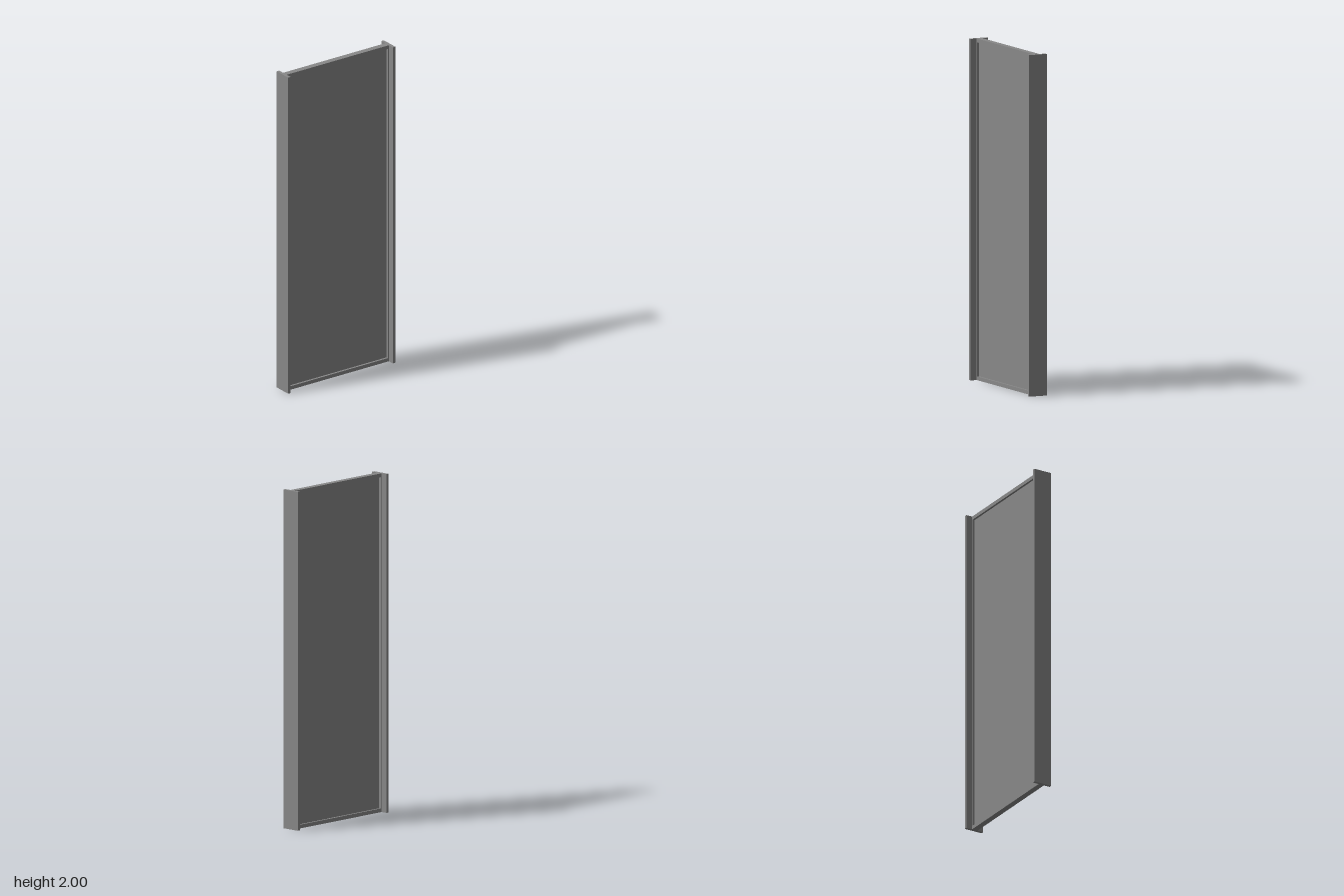
import * as THREE from 'three';

export function createModel() {
  const group = new THREE.Group();
  const material = new THREE.MeshStandardMaterial({ color: 0x888888 });

  const height = 2, halfWidth = 0.383;
  const boardWidth = 0.018, boardDepth = 0.114;
  const frameDepth = 0.036, railHeight = 0.022, stileWidth = 0.006;
  const inner = halfWidth - boardWidth;

  const box = (name, w, h, d, x, y) => {
    const mesh = new THREE.Mesh(new THREE.BoxGeometry(w, h, d), material);
    mesh.name = name;
    mesh.position.set(x, y, 0);
    group.add(mesh);
  };

  // Deep jamb boards and the slim stiles against them
  for (const [side, s] of [['left', 1], ['right', -1]]) {
    box(side + 'Jamb', boardWidth, height, boardDepth, s * (halfWidth - boardWidth / 2), height / 2);
    box(side + 'Stile', stileWidth, height - 2 * railHeight, frameDepth, s * (inner - stileWidth / 2), height / 2);
  }

  // Rails across the top and bottom
  box('topRail', inner * 2, railHeight, frameDepth, 0, height - railHeight / 2);
  box('bottomRail', inner * 2, railHeight, frameDepth, 0, railHeight / 2);

  // Recessed panel filling the frame
  box('panel', 2 * (inner - stileWidth), height - 2 * railHeight, 0.01, 0, height / 2);

  return group;
}
